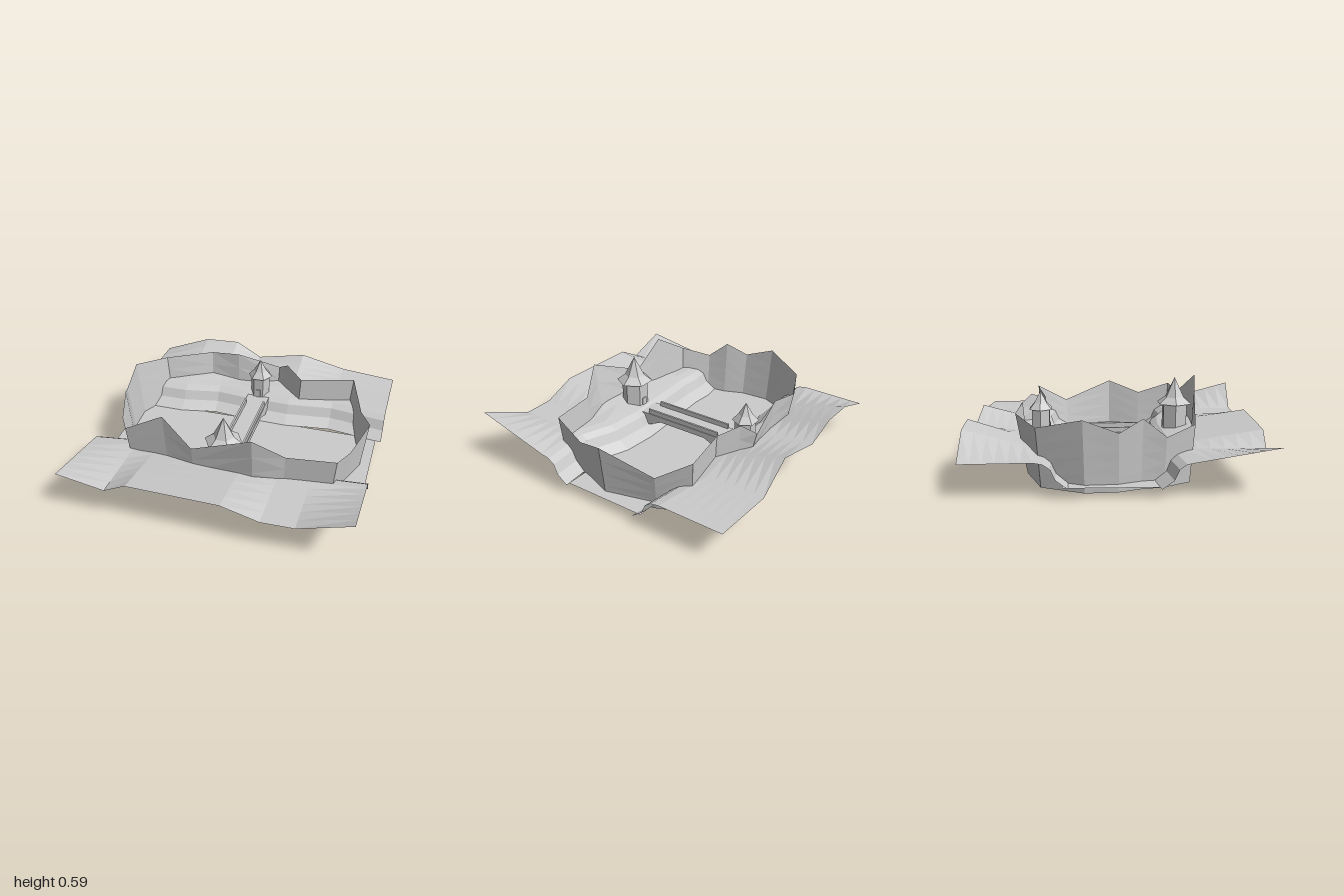
import * as THREE from 'three';

const mat = new THREE.MeshStandardMaterial({ color: 0xcccccc, flatShading: true, side: THREE.DoubleSide });

function add(parent, name, geometry, x = 0, y = 0, z = 0) {
  const mesh = new THREE.Mesh(geometry, mat);
  mesh.name = name;
  mesh.position.set(x, y, z);
  parent.add(mesh);
  return mesh;
}

// Skin between rows of points; a closed skin joins each row's end to its start
function loft(rows, closed = false) {
  const n = rows[0].length, index = [];
  for (let r = 0; r < rows.length - 1; r++) {
    for (let i = 0; i < (closed ? n : n - 1); i++) {
      const j = (i + 1) % n, a = r * n + i, b = r * n + j;
      index.push(a, a + n, b, b, a + n, b + n);
    }
  }
  const geo = new THREE.BufferGeometry();
  geo.setAttribute('position', new THREE.Float32BufferAttribute(rows.flat(2), 3));
  geo.setIndex(index);
  const flat = geo.toNonIndexed();
  flat.computeVertexNormals();
  return flat;
}

// Evenly spaced rows from one row of points to another, so twisted panels stay even
function rowsBetween(from, to, steps) {
  return Array.from({ length: steps + 1 }, (_, s) =>
    from.map((p, i) => p.map((v, k) => THREE.MathUtils.lerp(v, to[i][k], s / steps))));
}

// River bank: columns are [x, outer height, outer z, crest z], side is +1 front or -1 back
function bank(columns, side) {
  const profile = [[0.12, 0.235], [0.06, 0.224], [0.015, 0.193], [-0.015, 0.125], [-0.09, 0.07]];
  const steps = profile.map(([dz, y]) => columns.map(([x, , , c]) => [x, y, c + side * dz]));
  const outer = columns.map(([x, y, z]) => [x, y, z]);
  const rows = [...rowsBetween(outer, steps[0], 6), ...steps.slice(1)];
  return loft(side > 0 ? rows.reverse() : rows);
}

// Hexagonal tower with a flared, pointed roof
function tower(name, x, z, bodyR, roofR, eaves, tip) {
  const group = new THREE.Group();
  group.name = name;
  group.position.set(x, 0, z);
  group.rotation.y = Math.PI / 2;
  const base = 0.17;
  add(group, 'towerBody', new THREE.CylinderGeometry(bodyR, bodyR, eaves + 0.01 - base, 6), 0, (eaves + 0.01 + base) / 2, 0);
  const profile = [[0, eaves], [roofR, eaves], [roofR * 0.55, eaves + 0.045], [0, tip]];
  add(group, 'towerRoof', new THREE.LatheGeometry(profile.map(p => new THREE.Vector2(...p)), 6));
  return group;
}

export function createModel() {
  const model = new THREE.Group();

  // Land on both sides of the river
  add(model, 'frontBank', bank([
    [-0.98, 0.32, 0.98, 0.345], [-0.66, 0.235, 0.955, 0.3], [-0.5, 0.32, 0.97, 0.31], [0.13, 0.32, 0.98, 0.27],
    [0.38, 0.235, 0.965, 0.29], [0.6, 0.235, 0.96, 0.37], [0.96, 0.38, 1, 0.34],
  ], 1));
  add(model, 'backBank', bank([
    [-0.95, 0.23, -0.97, -0.4], [-0.6, 0.36, -0.99, -0.4], [-0.34, 0.37, -0.99, -0.45], [-0.14, 0.27, -0.97, -0.43],
    [0.23, 0.35, -0.96, -0.42], [0.56, 0.25, -1, -0.46], [0.97, 0.23, -0.97, -0.4],
  ], -1));

  // River bed, meeting the foot of both banks
  add(model, 'riverBed', new THREE.PlaneGeometry(1.86, 0.6).rotateX(-Math.PI / 2), 0, 0.069, -0.045);

  // Ragged wall leaning outwards: [x, top height, z]
  const top = [
    [-0.7, 0.405, 0.49], [-0.41, 0.575, 0.52], [-0.2, 0.385, 0.56], [0.23, 0.57, 0.62], [0.43, 0.415, 0.52],
    [0.76, 0.415, 0.48], [0.81, 0.33, 0.24], [0.9, 0.415, 0], [0.8, 0.275, -0.36], [0.7, 0.41, -0.58],
    [0.31, 0.39, -0.5], [0.18, 0.44, -0.6], [0.1, 0.37, -0.68], [-0.22, 0.46, -0.63], [-0.45, 0.43, -0.66],
    [-0.78, 0.41, -0.51], [-0.915, 0.485, -0.22], [-0.9, 0.4, 0], [-0.84, 0.475, 0.15], [-0.81, 0.35, 0.3],
  ];
  const bottom = top.map(([x, , z]) => [x * 0.95, Math.abs(x) < 0.25 ? 0 : 0.015, THREE.MathUtils.clamp(z * 0.95, -0.59, 0.53)]);
  add(model, 'outerWall', loft(rowsBetween(top, bottom, 4), true));

  // Bridge deck with a shallow arch beneath, drawn along z
  const deck = new THREE.Shape();
  deck.moveTo(-0.52, 0.21);
  deck.lineTo(0.42, 0.21);
  deck.lineTo(0.42, 0.15);
  deck.lineTo(0.25, 0.12);
  deck.lineTo(0.14, 0.17);
  deck.lineTo(-0.24, 0.17);
  deck.lineTo(-0.35, 0.12);
  deck.lineTo(-0.52, 0.15);
  const deckGeo = new THREE.ExtrudeGeometry(deck, { depth: 0.17, bevelEnabled: false });
  deckGeo.rotateY(-Math.PI / 2);
  add(model, 'bridgeDeck', deckGeo, 0.07, 0, 0);
  for (const x of [-0.085, 0.058]) {
    add(model, 'bridgeRail', new THREE.BoxGeometry(0.014, 0.04, 0.6), x, 0.225, -0.045);
  }

  // Bridge towers and their doors
  model.add(tower('frontTower', -0.01, 0.44, 0.095, 0.132, 0.405, 0.59));
  model.add(tower('backTower', -0.015, -0.52, 0.072, 0.092, 0.37, 0.5));
  add(model, 'frontTowerDoor', new THREE.BoxGeometry(0.04, 0.07, 0.01), -0.01, 0.245, 0.356);
  add(model, 'backTowerDoor', new THREE.BoxGeometry(0.035, 0.06, 0.01), -0.015, 0.24, -0.456);

  return model;
}
